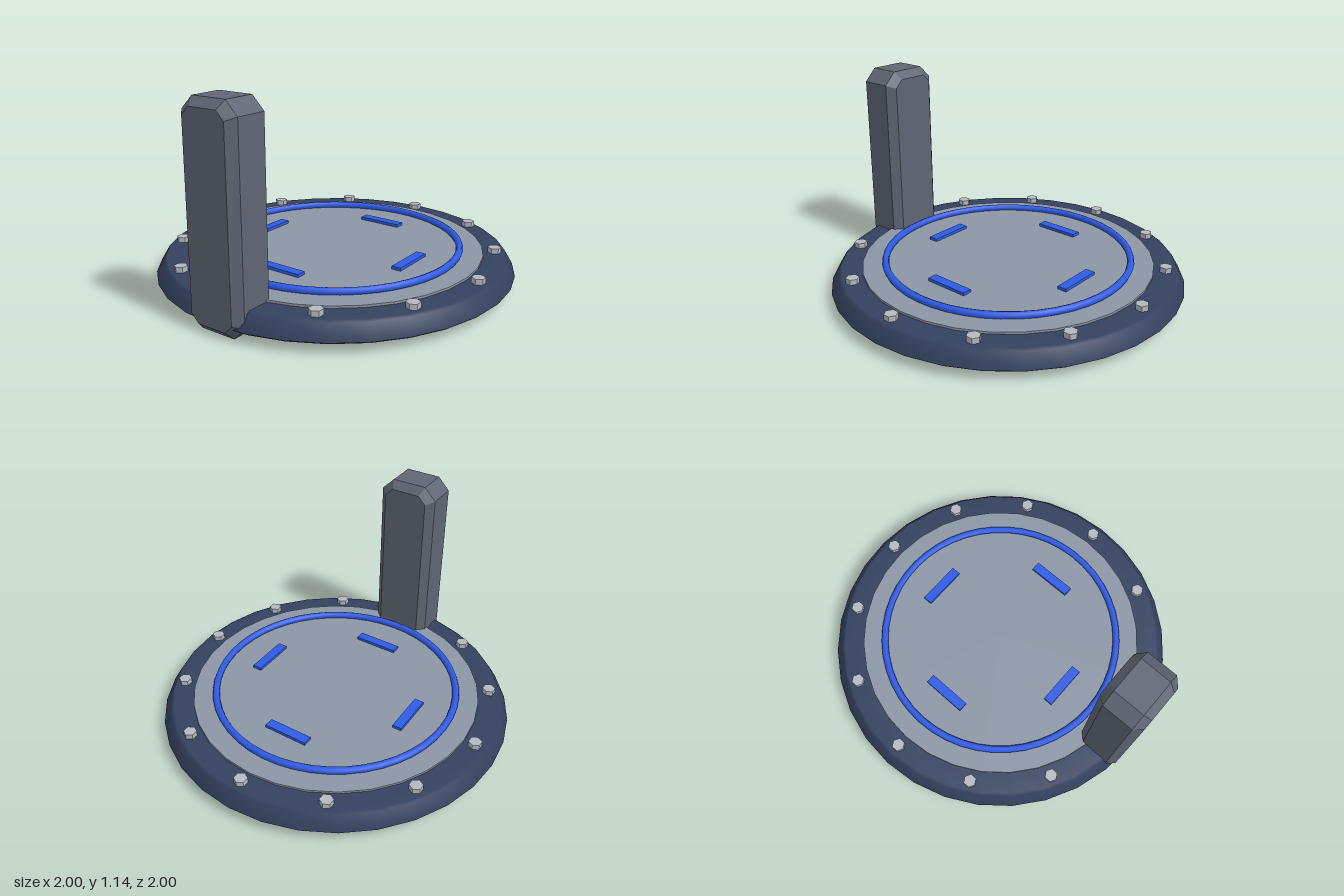
import * as THREE from 'three';

const paint = (color, flatShading = false) => {
  const m = new THREE.MeshStandardMaterial({ color });
  m.flatShading = flatShading;
  return m;
};

export function createModel() {
  const model = new THREE.Group();
  const navy = paint(0x34415f);
  const plateGrey = paint(0x8c96a5, true);
  const blue = paint(0x2f5be6);
  const slate = paint(0x5f6673, true);
  const boltGrey = paint(0xb4bac2, true);

  const add = (name, geometry, material, x = 0, y = 0, z = 0, parent = model) => {
    const mesh = new THREE.Mesh(geometry, material);
    mesh.name = name;
    mesh.position.set(x, y, z);
    parent.add(mesh);
    return mesh;
  };

  // Round base with sloping rim
  const profile = [[0, 0.05], [0.98, 0.05], [1, 0.065], [0.955, 0.142], [0.94, 0.152], [0.8, 0.153], [0, 0.153]]
    .map(([r, y]) => new THREE.Vector2(r, y));
  add('base', new THREE.LatheGeometry(profile, 32), navy);

  // Raised floor plate and glowing ring
  add('floorPlate', new THREE.CylinderGeometry(0.825, 0.825, 0.03, 32), plateGrey, 0, 0.15);
  add('ring', new THREE.TorusGeometry(0.695, 0.02, 8, 48), blue, 0, 0.182).rotation.x = Math.PI / 2;

  // Four light strips around the centre
  const strips = new THREE.Group();
  strips.name = 'lightStrips';
  model.add(strips);
  const stripGeometry = new THREE.BoxGeometry(0.26, 0.02, 0.055);
  for (let i = 0; i < 4; i++) {
    const a = (i * Math.PI) / 2;
    add('lightStrip', stripGeometry, blue, Math.sin(a) * 0.48, 0.172, Math.cos(a) * 0.48, strips).rotation.y = a;
  }

  // Hexagonal bolts on the rim; the post takes the front place
  const bolts = new THREE.Group();
  bolts.name = 'bolts';
  model.add(bolts);
  const boltGeometry = new THREE.CylinderGeometry(0.037, 0.037, 0.035, 6);
  for (let i = 1; i < 12; i++) {
    const a = (i * Math.PI) / 6;
    add('bolt', boltGeometry, boltGrey, Math.sin(a) * 0.888, 0.165, Math.cos(a) * 0.888, bolts);
  }

  // Upright post: cut-corner outline with a bevel on front and back
  const w = 0.173, h = 1.14, c = 0.07, bevel = 0.043;
  const outline = new THREE.Shape([
    [-w + c, 0], [w - c, 0], [w, c], [w, h - c],
    [w - c, h], [-w + c, h], [-w, h - c], [-w, c],
  ].map(([x, y]) => new THREE.Vector2(x, y)));
  const postGeometry = new THREE.ExtrudeGeometry(outline, {
    depth: 0.174, bevelEnabled: true, bevelSegments: 1,
    bevelSize: bevel, bevelThickness: bevel, bevelOffset: -bevel,
  });
  add('post', postGeometry, slate, 0, 0, 0.783);

  return model;
}
